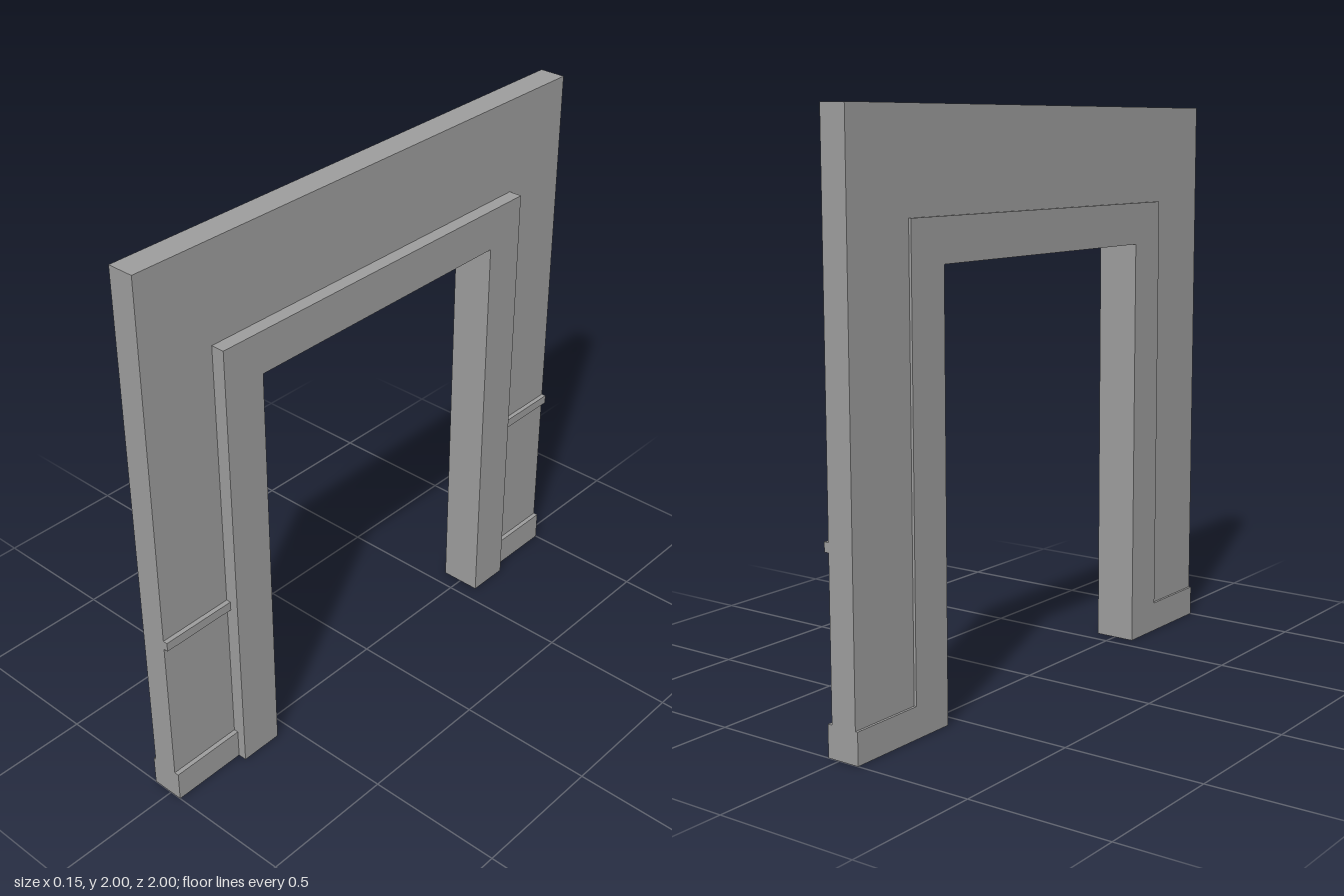
import * as THREE from 'three';

const material = new THREE.MeshStandardMaterial({ color: 0x9c9c9c, flatShading: true });

// Inverted-U slab in the z/y plane, spanning x0..x1
function archway(name, outer, top, inner, innerTop, bottom, x0, x1) {
  const shape = new THREE.Shape([
    [-outer, bottom], [-inner, bottom], [-inner, innerTop], [inner, innerTop],
    [inner, bottom], [outer, bottom], [outer, top], [-outer, top],
  ].map(([z, y]) => new THREE.Vector2(z, y)));
  const geometry = new THREE.ExtrudeGeometry(shape, { depth: x1 - x0, bevelEnabled: false });
  geometry.rotateY(-Math.PI / 2).translate(x1, 0, 0);
  const mesh = new THREE.Mesh(geometry, material);
  mesh.name = name;
  return mesh;
}

// Box given by its extents
function block(name, x0, x1, y0, y1, z0, z1) {
  const mesh = new THREE.Mesh(new THREE.BoxGeometry(x1 - x0, y1 - y0, z1 - z0), material);
  mesh.position.set((x0 + x1) / 2, (y0 + y1) / 2, (z0 + z1) / 2);
  mesh.name = name;
  return mesh;
}

export function createModel() {
  const group = new THREE.Group();
  group.name = 'doorwayWall';
  const trimZ = 0.72, trimTop = 1.655, baseTop = 0.11;
  const wallBack = -0.068, wallFace = 0.028, back = -0.077, mouldingFace = 0.045;

  // Wall panel around the door casing
  group.add(archway('wall', 1, 2, trimZ, trimTop, baseTop, wallBack, wallFace));

  // Casing lining the opening, proud of both wall faces
  group.add(archway('doorCasing', trimZ, trimTop, 0.56, 1.505, 0, back, 0.077));

  // Skirting and chair rail on each side of the opening
  for (const [side, z0, z1] of [['front', trimZ, 1], ['back', -1, -trimZ]]) {
    group.add(block(side + 'Skirting', back, mouldingFace, 0, baseTop, z0, z1));
    group.add(block(side + 'ChairRail', wallFace, mouldingFace, 0.655, 0.688, z0, z1));
  }
  return group;
}
